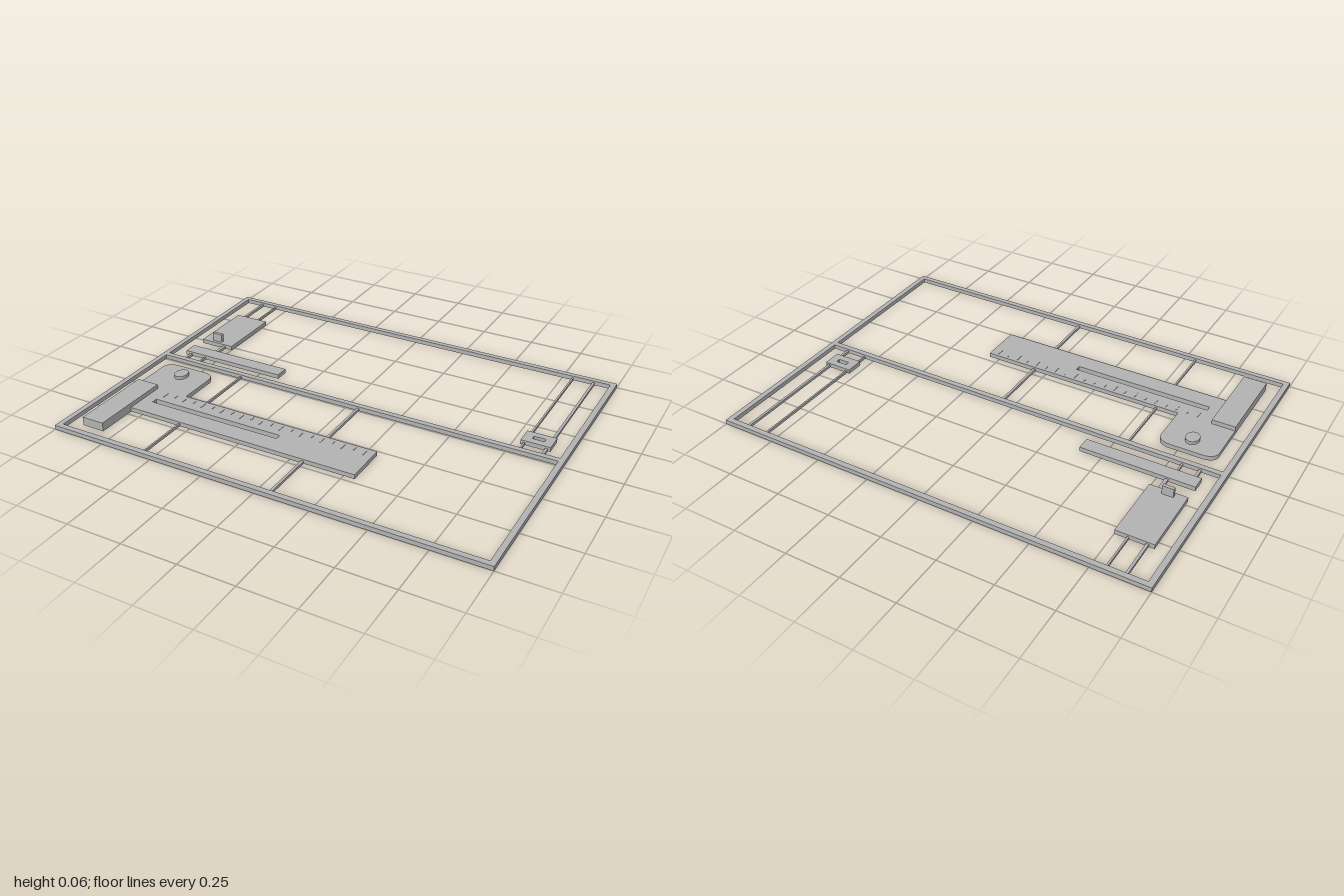
import * as THREE from 'three';

const T = 0.02; // thickness of the flat parts

export function createModel() {
  const group = new THREE.Group();
  const plastic = new THREE.MeshStandardMaterial({ color: 0xb2b2b2 });
  plastic.name = 'grey plastic';

  const add = (name, geometry) => {
    const mesh = new THREE.Mesh(geometry, plastic);
    mesh.name = name;
    group.add(mesh);
    return mesh;
  };
  // Box given by its limits on each axis
  const box = (name, x0, x1, y0, y1, z0, z1) => {
    const mesh = add(name, new THREE.BoxGeometry(x1 - x0, y1 - y0, z1 - z0));
    mesh.position.set((x0 + x1) / 2, (y0 + y1) / 2, (z0 + z1) / 2);
    return mesh;
  };
  // Rectangle in plan; shape y is -z
  const rect = (x0, x1, z0, z1, Kind = THREE.Path) =>
    new Kind([[x0, -z0], [x0, -z1], [x1, -z1], [x1, -z0]].map(p => new THREE.Vector2(...p)));
  // Flat plate lying on the ground
  const plate = (name, shape, holes = []) => {
    shape.holes.push(...holes);
    const g = new THREE.ExtrudeGeometry(shape, { depth: T, bevelEnabled: false, curveSegments: 8 });
    return add(name, g.rotateX(-Math.PI / 2));
  };

  // Outer frame with a cross bar
  plate('frame', rect(-1, 1, -0.75, 0.75, THREE.Shape), [
    rect(-0.975, 0.975, -0.725, -0.03),
    rect(-0.975, 0.975, -0.005, 0.725),
  ]);

  // Thin runners joining the parts to the frame: x, width, z start, z end
  [
    [-0.887, 0.012, -0.725, -0.54], [-0.887, 0.012, -0.085, -0.03],
    [-0.808, 0.008, -0.725, -0.54], [-0.808, 0.008, -0.085, -0.03],
    [0.8, 0.008, -0.725, -0.17], [0.8, 0.008, -0.085, -0.03],
    [0.898, 0.012, -0.725, -0.17], [0.898, 0.012, -0.085, -0.03],
    [-0.552, 0.008, -0.005, 0.28], [-0.552, 0.008, 0.475, 0.725],
    [0.06, 0.012, -0.005, 0.28], [0.06, 0.012, 0.475, 0.725],
    [-0.793, 0.015, -0.225, -0.152],
  ].forEach(([x, w, z0, z1]) => box('runner', x - w / 2, x + w / 2, 0, 0.012, z0, z1));

  // Small plate with an upright tab, and the strip beside it
  box('tabPlate', -0.917, -0.75, 0, T, -0.54, -0.225);
  box('tab', -0.866, -0.816, T, 0.06, -0.256, -0.24);
  box('strip', -0.917, -0.4, 0, T, -0.152, -0.087);

  // Slotted clip
  plate('clip', rect(0.783, 0.915, -0.17, -0.087, THREE.Shape), [rect(0.823, 0.877, -0.14, -0.12)]);

  // Square: blade with slot, rounded head, raised stock
  plate('blade', rect(-0.81, 0.3, 0.28, 0.475, THREE.Shape), [rect(-0.757, -0.115, 0.363, 0.39)]);
  const head = new THREE.Shape();
  head.moveTo(-0.917, -0.28);
  head.lineTo(-0.655, -0.28);
  head.lineTo(-0.655, -0.105);
  head.quadraticCurveTo(-0.655, -0.055, -0.72, -0.055);
  head.lineTo(-0.852, -0.055);
  head.quadraticCurveTo(-0.917, -0.055, -0.917, -0.105);
  head.closePath();
  plate('head', head);
  box('stock', -0.917, -0.81, 0, 0.04, 0.28, 0.665);

  // Oval knob on the head
  const knob = add('knob', new THREE.CylinderGeometry(1, 1, 0.015, 32));
  knob.scale.set(0.03, 1, 0.037);
  knob.position.set(-0.785, T + 0.0075, 0.133);

  // Scale marks along the blade
  for (let i = 0; i <= 20; i++) {
    const x = -0.74 + i * 0.05;
    const length = i % 2 ? 0.02 : 0.035;
    box('scaleMark', x - 0.002, x + 0.002, T, T + 0.002, 0.295, 0.295 + length);
  }
  return group;
}
